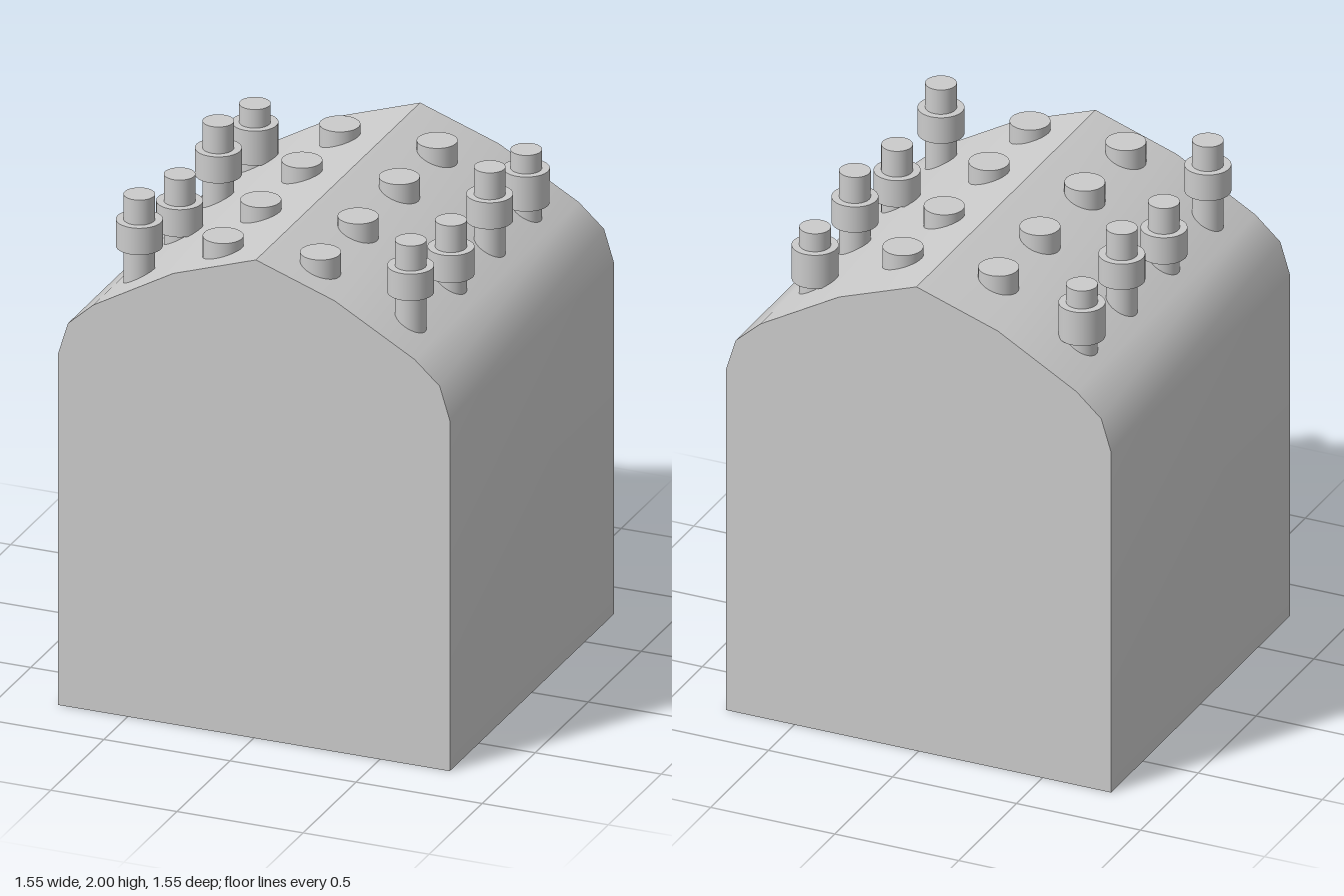
import * as THREE from 'three';
import { toCreasedNormals } from 'three/addons/utils/BufferGeometryUtils.js';

const material = new THREE.MeshStandardMaterial({ color: 0xcccccc });

function addCylinder(parent, name, radius, bottom, top, x, z) {
  const geometry = new THREE.CylinderGeometry(radius, radius, top - bottom, 40);
  const mesh = new THREE.Mesh(geometry, material);
  mesh.name = name;
  mesh.position.set(x, (top + bottom) / 2, z);
  parent.add(mesh);
}

export function createModel() {
  const model = new THREE.Group();
  model.name = 'block';

  // Block with rounded shoulders and a creased ridge
  const depth = 1.55;
  const half = [[0.777, 0], [0.777, 1.4], [0.737, 1.53], [0.637, 1.62], [0.32, 1.8]];
  const profile = [
    ...half,
    [0.008, 1.91],
    ...half.map(([x, y]) => [-x, y]).reverse(),
  ].map(([x, y]) => new THREE.Vector2(x, y));
  const bodyGeometry = new THREE.ExtrudeGeometry(new THREE.Shape(profile), { depth, bevelEnabled: false });
  bodyGeometry.translate(0, 0, -depth / 2);
  const body = new THREE.Mesh(toCreasedNormals(bodyGeometry, 0.6), material);
  body.name = 'body';
  model.add(body);

  // Each row: pin z, pin top, collar bottom, collar top, button z
  const rows = [
    [0.575, 2.0, 1.793, 1.9, 0.605],
    [0.195, 1.926, 1.71, 1.82, 0.25],
    [-0.17, 1.99, 1.777, 1.883, -0.138],
    [-0.515, 1.92, 1.708, 1.846, -0.495],
  ];
  for (const side of [-1, 1]) {
    for (const [pinZ, pinTop, collarBottom, collarTop, buttonZ] of rows) {
      // Collared pin rising from the slope
      const pin = new THREE.Group();
      pin.name = side > 0 ? 'leftPin' : 'rightPin';
      addCylinder(pin, 'pinStem', 0.058, 1.55, pinTop, side * 0.538, pinZ);
      addCylinder(pin, 'pinCollar', 0.086, collarBottom, collarTop, side * 0.538, pinZ);
      model.add(pin);

      // Flat button beside the ridge
      addCylinder(model, side > 0 ? 'leftButton' : 'rightButton', 0.075, 1.78, 1.905, side * 0.193, buttonZ);
    }
  }
  return model;
}
